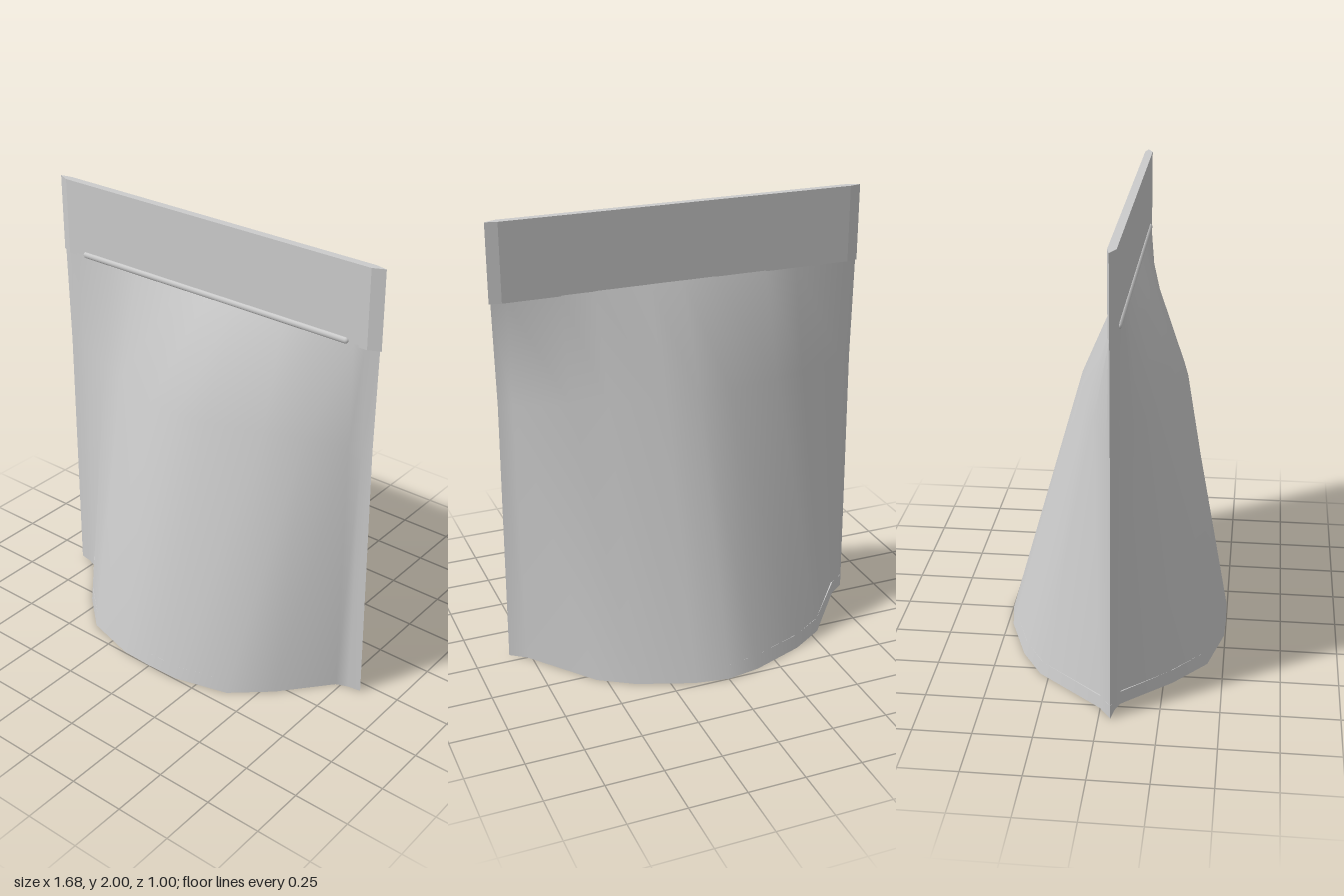
import * as THREE from 'three';

const material = new THREE.MeshStandardMaterial({ color: 0xcccccc, side: THREE.DoubleSide });

// Half cross-sections [x, z] from the side seal to the middle, at each height
const FRONT = [
  { y: 0, p: [[0.84, 0.05], [0.78, 0.06], [0.73, 0.08], [0.55, 0.29], [0.39, 0.43], [0.15, 0.495], [0, 0.5]] },
  { y: 1.21, p: [[0.828, 0.05], [0.78, 0.055], [0.73, 0.075], [0.55, 0.13], [0.39, 0.2], [0.15, 0.275], [0, 0.3]] },
  { y: 1.67, p: [[0.835, 0.05], [0.78, 0.07], [0.73, 0.075], [0.55, 0.075], [0.39, 0.075], [0.15, 0.075], [0, 0.075]] },
];
const BACK = [
  { y: 0, p: [[0.84, 0.05], [0.77, 0], [0.54, -0.29], [0.39, -0.385], [0.15, -0.475], [0, -0.5]] },
  { y: 1.21, p: [[0.828, 0.05], [0.77, 0.03], [0.54, -0.05], [0.39, -0.1], [0.15, -0.145], [0, -0.16]] },
  { y: 1.67, p: [[0.835, 0.05], [0.77, 0.04], [0.54, 0.04], [0.39, 0.04], [0.15, 0.04], [0, 0.04]] },
];

// Mirrors a half section into a full one running from +x to -x
const mirrored = (half) => [...half, ...half.slice(0, -1).reverse().map(([x, z]) => [-x, z])];

// Smooth sheet lofted through the sections; flip turns it to face the back
function sheet(levels, flip) {
  const rows = levels.map(({ y, p }) => mirrored(p).map(([x, z]) => [x, y, z]));
  const n = rows[0].length, index = [];
  for (let j = 0; j < rows.length - 1; j++) {
    for (let i = 0; i < n - 1; i++) {
      const a = j * n + i, b = a + 1, c = a + n, d = c + 1;
      if (flip) index.push(a, b, c, b, d, c);
      else index.push(a, c, b, b, c, d);
    }
  }
  const g = new THREE.BufferGeometry();
  g.setAttribute('position', new THREE.Float32BufferAttribute(rows.flat(2), 3));
  g.setIndex(index);
  g.computeVertexNormals();
  return g;
}

// Half section at height y between the two lowest levels
function sectionAt(levels, y) {
  const t = y / levels[1].y;
  return levels[0].p.map(([x, z], i) => [
    THREE.MathUtils.lerp(x, levels[1].p[i][0], t),
    THREE.MathUtils.lerp(z, levels[1].p[i][1], t),
  ]);
}

// Shape drawn in plan, with z running down the page
const planShape = (pts) => new THREE.Shape(pts.map(([x, z]) => new THREE.Vector2(x, -z)));

export function createModel() {
  const model = new THREE.Group();
  const add = (name, geometry) => {
    const mesh = new THREE.Mesh(geometry, material);
    mesh.name = name;
    model.add(mesh);
    return mesh;
  };

  // Bulging panels that meet in thin side seals
  add('frontPanel', sheet(FRONT, false));
  add('backPanel', sheet(BACK, true));

  // Floor set a little above the bottom rim
  const floorY = 0.06;
  const outline = [
    ...mirrored(sectionAt(FRONT, floorY)),
    ...mirrored(sectionAt(BACK, floorY)).reverse().slice(1, -1),
  ];
  const floor = new THREE.ShapeGeometry(planShape(outline));
  floor.rotateX(-Math.PI / 2).translate(0, floorY, 0);
  add('floor', floor);

  // Flat sealed strip along the top, thinning at its ends
  const strip = planShape([[-0.842, 0.05], [-0.79, 0.038], [0.79, 0.038], [0.842, 0.05], [0.79, 0.073], [-0.79, 0.073]]);
  const header = new THREE.ExtrudeGeometry(strip, { depth: 0.34, bevelEnabled: false });
  header.rotateX(-Math.PI / 2).translate(0, 1.66, 0);
  add('topSeal', header);

  // Raised closure ridge across the front
  const ridge = new THREE.CapsuleGeometry(0.014, 1.38, 4, 10);
  ridge.rotateZ(Math.PI / 2).scale(1, 1, 0.8);
  add('closureRidge', ridge).position.set(0, 1.672, 0.072);

  return model;
}
